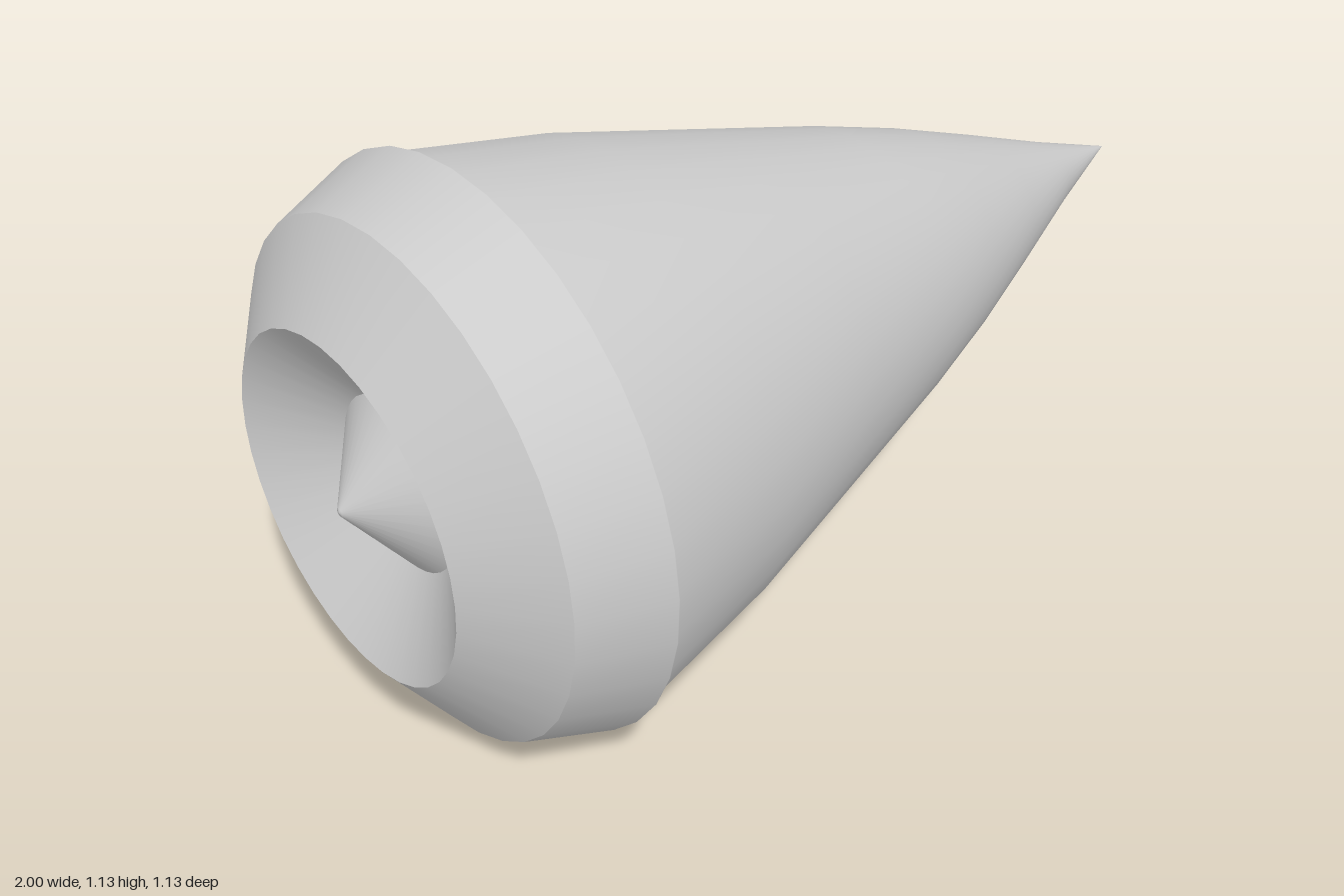
import * as THREE from 'three';

const SIDES = 36;
const AXIS_HEIGHT = 0.563;

export function createModel() {
  const group = new THREE.Group();
  group.name = 'pointedCone';
  const material = new THREE.MeshStandardMaterial({ color: 0xcccccc });
  const openMaterial = new THREE.MeshStandardMaterial({ color: 0xcccccc, side: THREE.DoubleSide });

  // Turn a profile of [radius, x] points around the lengthwise axis
  const turn = (name, profile, surface = material) => {
    const points = profile.map(([r, x]) => new THREE.Vector2(r, x));
    const geometry = new THREE.LatheGeometry(points, SIDES);
    geometry.rotateZ(-Math.PI / 2);
    const mesh = new THREE.Mesh(geometry, surface);
    mesh.name = name;
    mesh.position.y = AXIS_HEIGHT;
    group.add(mesh);
  };

  // Rear end: central plug with a softened tip, hollow recess and chamfer
  turn('rearPlug', [[0, -1], [0.008, -0.998], [0.17, -0.88]]);
  turn('rearRecess', [[0.17, -0.88], [0.335, -0.99]]);
  turn('rearChamfer', [[0.335, -0.99], [0.5, -0.875]]);

  // Open collar whose thin lip stands just proud of the body
  turn('collar', [[0.5, -0.875], [0.563, -0.712], [0.5625, -0.71]], openMaterial);

  // Curved nose, its base tucked inside the collar
  turn('noseBody', [
    [0.549, -0.745], [0.552, -0.71], [0.485, -0.4], [0.395, -0.1], [0.305, 0.2],
    [0.236, 0.4], [0.157, 0.6], [0.075, 0.8], [0, 1],
  ]);

  return group;
}
